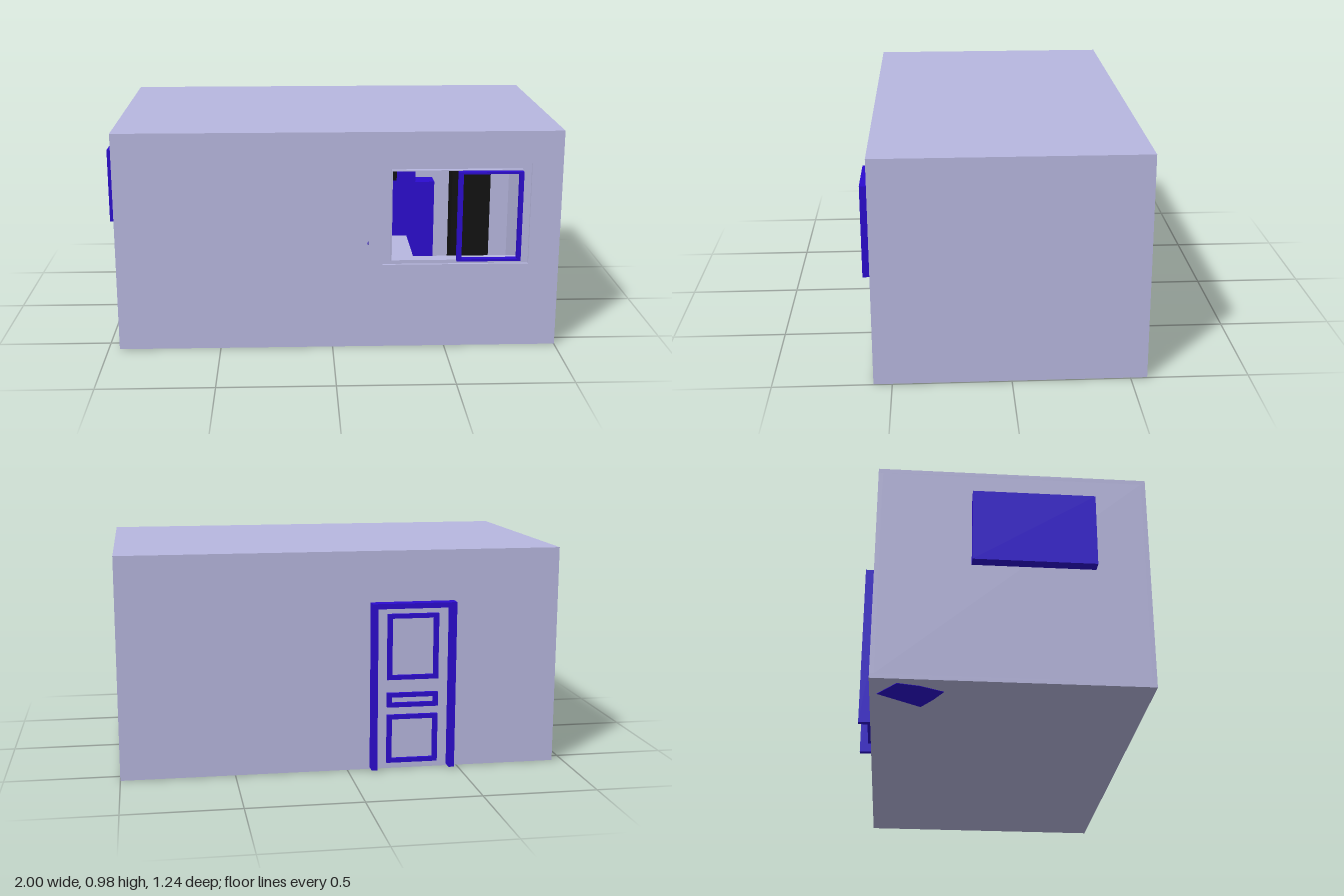
import * as THREE from 'three';

const wallMat = new THREE.MeshStandardMaterial({ color: 0xb8b8e0, flatShading: true });
const blueMat = new THREE.MeshStandardMaterial({ color: 0x2c0cd0, flatShading: true });
const blackMat = new THREE.MeshStandardMaterial({ color: 0x111111, flatShading: true });

export function createModel() {
  const model = new THREE.Group();

  function add(name, geometry, material, parent = model) {
    const mesh = new THREE.Mesh(geometry, material);
    mesh.name = name;
    parent.add(mesh);
    return mesh;
  }
  // Box given by its limits on each axis
  function block(name, [x0, x1], [y0, y1], [z0, z1], material, parent) {
    const mesh = add(name, new THREE.BoxGeometry(x1 - x0, y1 - y0, z1 - z0), material, parent);
    mesh.position.set((x0 + x1) / 2, (y0 + y1) / 2, (z0 + z1) / 2);
    return mesh;
  }
  function rect(Type, [x0, x1], [y0, y1]) {
    return new Type([[x0, y0], [x1, y0], [x1, y1], [x0, y1]].map(p => new THREE.Vector2(...p)));
  }
  // Rectangular plate with a rectangular hole
  function frame(name, x, y, holeX, holeY, [z0, z1], material, parent) {
    const shape = rect(THREE.Shape, x, y);
    shape.holes.push(rect(THREE.Path, holeX, holeY));
    const mesh = add(name, new THREE.ExtrudeGeometry(shape, { depth: z1 - z0, bevelEnabled: false }), material, parent);
    mesh.position.z = z0;
    return mesh;
  }
  const inset = ([a, b], d) => [a + d, b - d];
  const group = name => {
    const g = new THREE.Group();
    g.name = name;
    model.add(g);
    return g;
  };

  // Hollow room shell
  const X = [-0.95, 1], Y = [0.002, 0.983], Z = [-0.57, 0.578], t = 0.02;
  const room = group('room');
  const innerY = inset(Y, t);
  block('floor', X, [Y[0], Y[0] + t], Z, wallMat, room);
  block('ceiling', X, [Y[1] - t, Y[1]], Z, wallMat, room);
  block('backWall', X, innerY, [Z[0], Z[0] + t], wallMat, room);
  block('rightWall', [X[0], X[0] + t], innerY, [Z[0] + t, Z[1] - t], wallMat, room);
  block('leftWall', [X[1] - t, X[1]], innerY, [Z[0] + t, Z[1] - t], wallMat, room);
  frame('frontWall', X, innerY, [0.22, 0.865], [0.385, 0.84], [Z[1] - t, Z[1]], wallMat, room);

  // Window: recessed surround, slim outer frame and sliding sash
  const win = group('window');
  const wx = [0.255, 0.825], wy = [0.405, 0.815];
  frame('windowSurround', [0.22, 0.865], [0.385, 0.84], wx, wy, [0.53, 0.565], wallMat, win);
  frame('windowFrame', wx, wy, inset(wx, 0.004), inset(wy, 0.004), [0.53, 0.588], wallMat, win);
  frame('slidingSash', [0.542, 0.823], [0.41, 0.812], [0.562, 0.806], [0.42, 0.803], [0.588, 0.618], blueMat, win);

  // Door: casing through the wall and three raised panel mouldings on both faces
  const door = group('door');
  for (const x of [-0.475, -0.125]) {
    block('doorJamb', [x, x + 0.025], [0.01, 0.758], [-0.622, -0.52], blueMat, door);
  }
  block('doorHeader', [-0.45, -0.125], [0.735, 0.758], [-0.622, -0.52], blueMat, door);
  for (const y of [[0.41, 0.705], [0.285, 0.35], [0.03, 0.25]]) {
    const x = [-0.405, -0.175];
    frame('panelMoulding', x, y, inset(x, 0.022), inset(y, 0.02), [-0.584, -0.536], blueMat, door);
  }

  // Board set through the side wall
  block('wallBoard', [-1, -0.92], [0.53, 0.86], [-0.17, 0.35], blueMat);

  // Furniture inside
  const furniture = group('furniture');
  block('bed', [-0.45, 0.4], [0.022, 0.286], [-0.18, 0.175], wallMat, furniture);
  block('tallDresser', [0.32, 0.47], [0.022, 0.55], [-0.55, -0.45], blueMat, furniture);
  block('lowDresser', [0.47, 0.57], [0.022, 0.495], [-0.55, -0.45], blueMat, furniture);
  block('cabinet', [0.66, 0.86], [0.022, 0.645], [-0.55, -0.42], blackMat, furniture);
  block('wallCabinet', [0.7, 0.86], [0.69, 0.84], [-0.55, -0.45], blueMat, furniture);
  block('wallScreen', [0.22, 0.37], [0.51, 0.84], [-0.44, -0.42], blackMat, furniture);

  // Small knob just breaking through the front wall
  const knob = add('wallKnob', new THREE.SphereGeometry(1, 12, 8), blueMat, furniture);
  knob.scale.set(0.006, 0.025, 0.02);
  knob.position.set(0.155, 0.485, 0.56);

  // Corner rug, seen under the floor too
  const rugShape = new THREE.Shape([
    [-0.68, 0.36], [-0.74, 0.45], [-0.8, 0.54], [-0.91, 0.46], [-0.89, 0.37], [-0.84, 0.27], [-0.76, 0.31],
  ].map(p => new THREE.Vector2(...p)));
  const rug = add('cornerRug', new THREE.ExtrudeGeometry(rugShape, { depth: 0.035, bevelEnabled: false }), blueMat, furniture);
  rug.rotation.x = -Math.PI / 2;

  return model;
}
